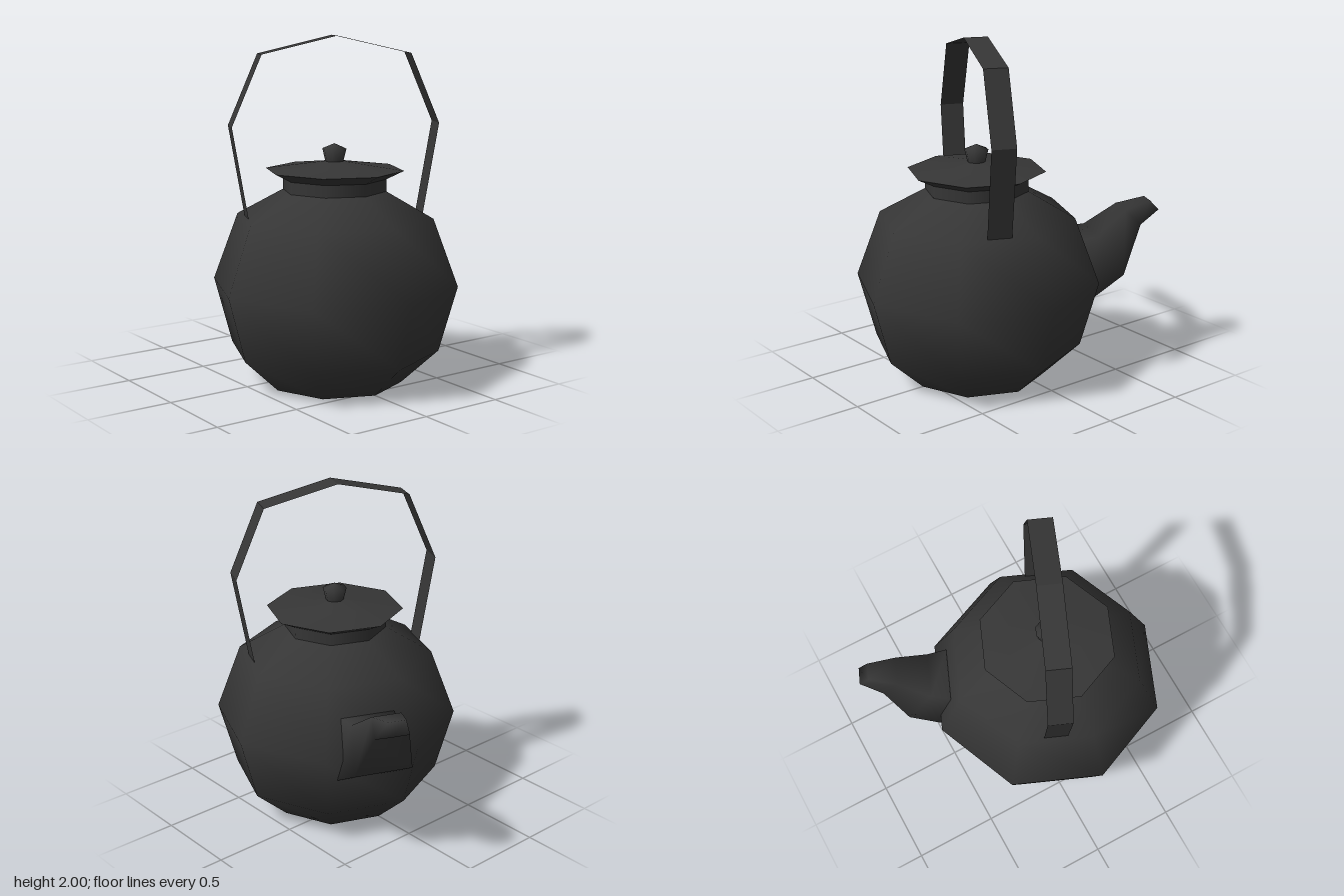
import * as THREE from 'three';

export function createModel() {
  const model = new THREE.Group();
  const iron = new THREE.MeshStandardMaterial({ color: 0x363636, side: THREE.DoubleSide });
  iron.name = 'blackIron';

  const add = (parent, name, geometry) => {
    const mesh = new THREE.Mesh(geometry, iron);
    mesh.name = name;
    parent.add(mesh);
  };
  const lathe = (points) =>
    new THREE.LatheGeometry(points.map(([r, y]) => new THREE.Vector2(r, y)), 8);

  // Octagonal pot, neck, lid and knob share one axis
  const pot = new THREE.Group();
  pot.name = 'pot';
  pot.position.x = 0.16;
  model.add(pot);
  add(pot, 'body', lathe([[0, 0], [0.395, 0], [0.61, 0.2], [0.715, 0.58], [0.57, 0.97], [0.3, 1.12]]));
  add(pot, 'neck', lathe([[0.3, 1.12], [0.3, 1.195]]));
  add(pot, 'lidUnderside', lathe([[0.3, 1.19], [0.4, 1.24]]));
  add(pot, 'lidTop', lathe([[0.4, 1.24], [0, 1.295]]));
  add(pot, 'knob', lathe([[0.05, 1.28], [0.07, 1.36], [0, 1.39]]));

  // Spout and handle are turned to line up with the pot's facets
  const fittings = new THREE.Group();
  fittings.name = 'fittings';
  fittings.rotation.y = -Math.PI / 8;
  pot.add(fittings);

  // Handle: a thin flat strap bent over the lid
  const path = [[0.51, 0.98], [0.6, 1.5], [0.43, 1.9], [0, 2], [-0.43, 1.9], [-0.6, 1.5], [-0.51, 0.98]];
  const strap = new THREE.PlaneGeometry(0.14, 1, 1, path.length - 1);
  const pos = strap.attributes.position;
  for (let i = 0; i < pos.count; i++) {
    const [z, y] = path[Math.floor(i / 2)];
    pos.setXYZ(i, pos.getX(i), y, z);
  }
  const handle = strap.toNonIndexed();
  handle.computeVertexNormals();
  add(fittings, 'handle', handle);

  // Spout sections: top [reach, height, half width], bottom [reach, height, half width]
  const sections = [
    [0.585, 0.81, 0.157, 0.585, 0.42, 0.2],
    [0.7, 0.82, 0.135, 0.85, 0.58, 0.17],
    [0.885, 0.95, 0.085, 0.975, 0.86, 0.1],
    [1.05, 0.99, 0.05, 1.106, 0.93, 0.05],
  ];
  const vertices = [];
  const faces = [];
  sections.forEach(([tu, ty, tw, bu, by, bw], i) => {
    vertices.push(-tu, ty, tw, -tu, ty, -tw, -bu, by, -bw, -bu, by, bw);
    if (i === sections.length - 1) return;
    for (let j = 0; j < 4; j++) {
      const a = i * 4 + j;
      const b = i * 4 + ((j + 1) % 4);
      faces.push(a, b, a + 4, b, b + 4, a + 4);
    }
  });
  const end = (sections.length - 1) * 4;
  faces.push(end, end + 1, end + 2, end, end + 2, end + 3);
  const spout = new THREE.BufferGeometry();
  spout.setAttribute('position', new THREE.Float32BufferAttribute(vertices, 3));
  spout.setIndex(faces);
  spout.computeVertexNormals();
  add(fittings, 'spout', spout);

  return model;
}
